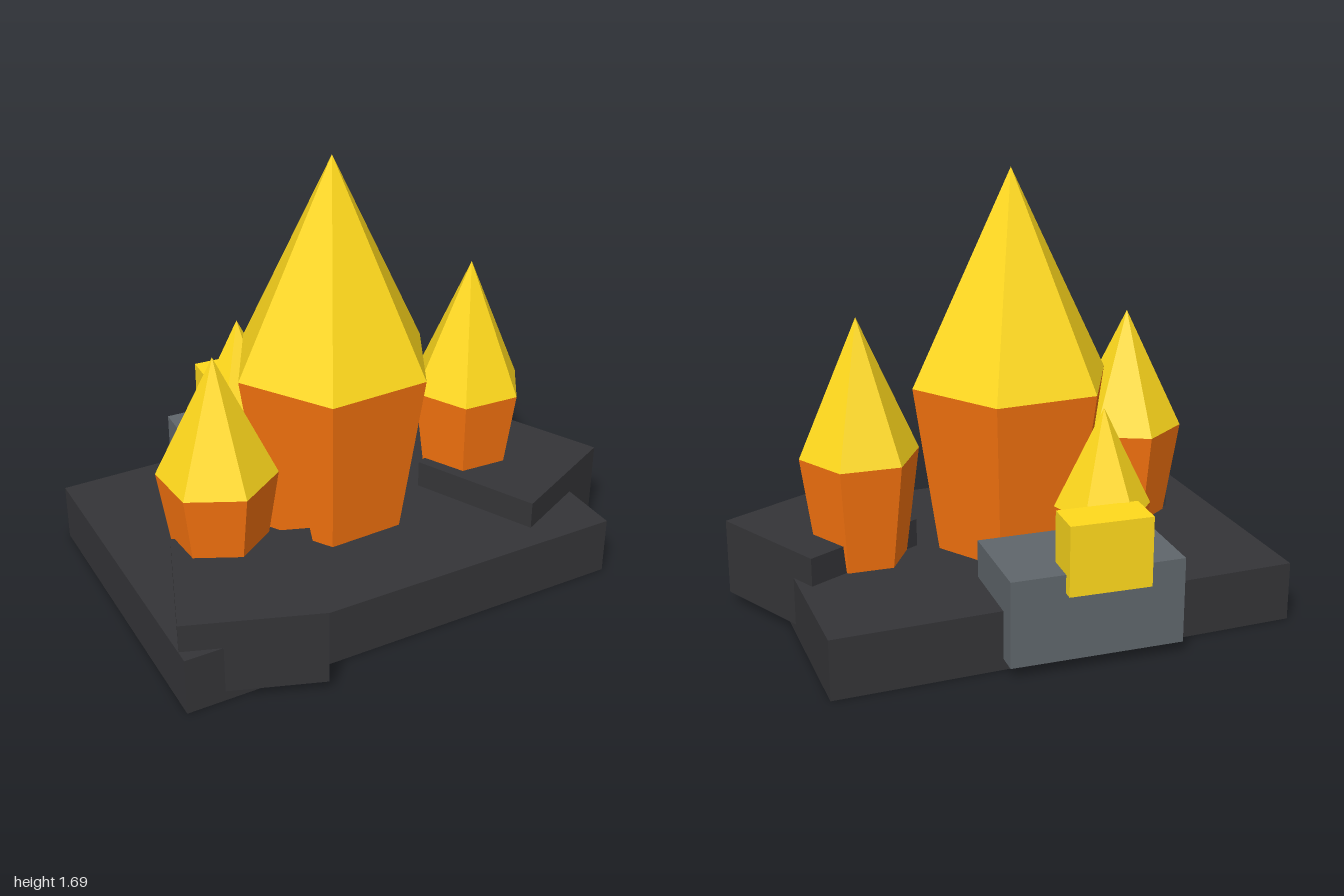
import * as THREE from 'three';

const mat = (color) => new THREE.MeshStandardMaterial({ color, flatShading: true });

export function createModel() {
  const group = new THREE.Group();
  const darkRock = mat(0x343437);
  const greyRock = mat(0x5f666b);
  const orange = mat(0xf8740f);
  const yellow = mat(0xffd91c);

  // Box from its bottom and top heights, turned about the vertical
  function block(name, material, w, d, y0, y1, x, z, turn) {
    const mesh = new THREE.Mesh(new THREE.BoxGeometry(w, y1 - y0, d), material);
    mesh.name = name;
    mesh.position.set(x, (y0 + y1) / 2, z);
    mesh.rotation.y = turn;
    group.add(mesh);
  }

  // Six-sided crystal: tapered orange body with a pointed yellow tip.
  // angle is the direction of one corner, measured from +x towards +z
  function crystal(name, x, z, r, rBottom, y0, yShoulder, yApex, angle) {
    const part = new THREE.Group();
    part.name = name;
    part.position.set(x, 0, z);
    const add = (partName, top, bottom, low, high, material) => {
      const geo = new THREE.CylinderGeometry(top, bottom, high - low, 6, 1, false, Math.PI / 2 - angle);
      const mesh = new THREE.Mesh(geo, material);
      mesh.name = partName;
      mesh.position.y = (low + high) / 2;
      part.add(mesh);
    };
    add('crystalBody', r, rBottom, y0, yShoulder, orange);
    add('crystalTip', 0, r, yShoulder, yApex, yellow);
    group.add(part);
  }

  // Rocky base
  block('baseSlab', darkRock, 1.787, 1.23, 0, 0.23, -0.03, 0.025, -0.14);
  block('rightRock', darkRock, 0.52, 0.52, 0.04, 0.34, -0.64, 0.35, -0.49);
  block('leftRock', darkRock, 0.52, 0.52, 0.04, 0.34, 0.665, 0.29, 0.31);
  block('backRock', greyRock, 0.66, 0.385, 0.045, 0.375, -0.027, -0.497, -0.18);
  block('yellowBlock', yellow, 0.31, 0.155, 0.305, 0.57, -0.028, -0.655, -0.2);

  // Crystals
  crystal('mainCrystal', -0.025, 0.025, 0.397, 0.292, 0.18, 0.887, 1.69, 0.1);
  crystal('leftCrystal', 0.56, 0.135, 0.229, 0.169, 0.2, 0.645, 1.17, 0.19);
  crystal('rightCrystal', -0.577, 0.07, 0.225, 0.163, 0.2, 0.602, 1.075, -Math.PI / 2 + 0.07);
  crystal('backCrystal', -0.14, -0.46, 0.178, 0.145, 0.3, 0.515, 0.885, 0.39);

  return group;
}
